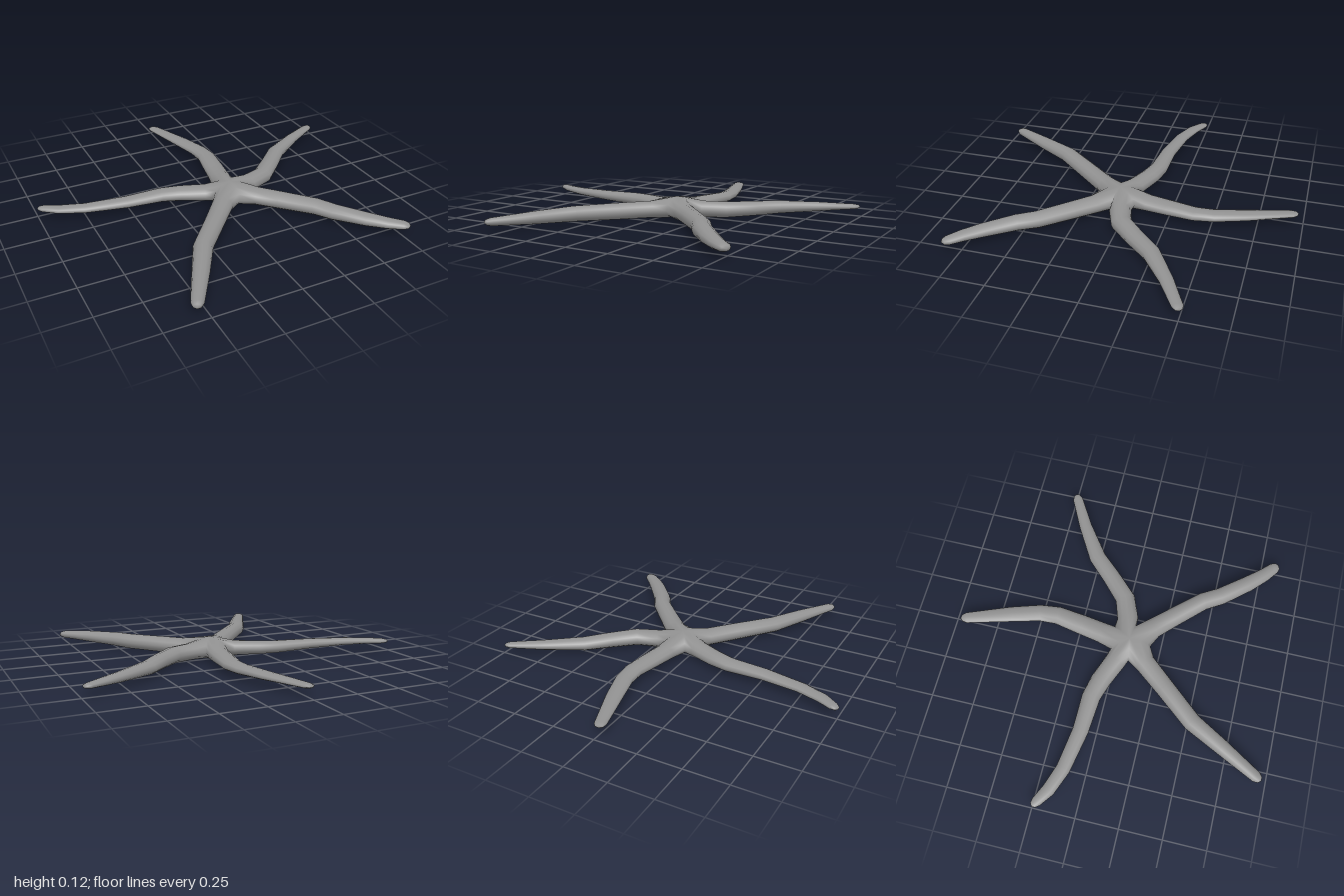
import * as THREE from 'three';
import { mergeGeometries, mergeVertices } from 'three/addons/utils/BufferGeometryUtils.js';

const CENTRE = [0.078, 0.06];
const SIDES = 12;
const ROOT_HEIGHT = 0.049;

// Notch k lies between arm k and arm k + 1.
const NOTCHES = [[0.15, -0.05], [0.19, 0.077], [0.08, 0.187], [-0.04, 0.08], [0.01, -0.04]];

// Each arm: [x, z, half width] stations from the body outwards,
// half height at the tip, and how late the arm starts to flatten.
const ARMS = [
  // back
  { tip: 0.013, late: 0.9, path: [
    [0.1, -0.12, 0.065], [0.12, -0.24, 0.063], [0.145, -0.4, 0.057],
    [0.135, -0.51, 0.053], [0.085, -0.68, 0.049], [0, -0.935, 0.034]] },
  // left back
  { tip: 0.015, late: 2, path: [
    [0.225, 0.015, 0.063], [0.35, -0.03, 0.06], [0.47, -0.145, 0.055],
    [0.58, -0.26, 0.052], [0.78, -0.39, 0.039], [0.957, -0.486, 0.031]] },
  // left front
  { tip: 0.022, late: 3, path: [
    [0.2, 0.18, 0.063], [0.295, 0.28, 0.059], [0.44, 0.435, 0.055],
    [0.5, 0.535, 0.054], [0.62, 0.68, 0.05], [0.7, 0.765, 0.043], [0.763, 0.82, 0.036]] },
  // right front
  { tip: 0.022, late: 3, path: [
    [-0.03, 0.18, 0.063], [-0.155, 0.33, 0.058], [-0.32, 0.525, 0.055],
    [-0.425, 0.72, 0.047], [-0.545, 0.936, 0.034]] },
  // right back
  { tip: 0.015, late: 1, path: [
    [-0.06, 0.005, 0.063], [-0.195, -0.05, 0.06], [-0.305, -0.08, 0.055],
    [-0.52, -0.09, 0.047], [-0.755, -0.13, 0.042], [-0.89, -0.18, 0.039],
    [-0.968, -0.228, 0.03]] },
];

// Loft an arm from a mitred root, shared with both neighbours, to a rounded tip.
function armGeometry({ path, tip, late }, k) {
  const stations = [CENTRE, ...path];
  const pts = stations.map(([x, z]) => new THREE.Vector3(x, 0, z));
  const last = pts.length - 1;
  const total = pts[0].distanceTo(pts[last]);
  const rings = path.map(([, , r], n) => {
    const i = n + 1, p = pts[i];
    const before = p.clone().sub(pts[i - 1]).normalize();
    const after = pts[Math.min(i + 1, last)].clone().sub(p).normalize();
    const dir = before.add(after).normalize();
    const t = p.distanceTo(pts[0]) / total;
    const h = ROOT_HEIGHT + (tip - ROOT_HEIGHT) * Math.pow(t, late);
    return { p: p.clone().setY(0.052 + 0.005 * t), dir, r, h };
  });
  const end = rings[rings.length - 1];
  const beyond = (d, f) => ({ ...end, p: end.p.clone().addScaledVector(end.dir, d), r: end.r * f, h: end.h * f });
  rings.push(beyond(0.026, 0.65));

  // Root: runs from notch to notch, over the central peak and under the belly
  const pos = [], index = [];
  const angle = (j) => (j / SIDES) * Math.PI * 2;
  for (let j = 0; j < SIDES; j++) {
    const c = Math.cos(angle(j)), s = Math.sin(angle(j));
    const notch = NOTCHES[c > 0 ? (k + 4) % 5 : k];
    const f = Math.abs(c);
    pos.push(CENTRE[0] + (notch[0] - CENTRE[0]) * f, 0.053 + s * (s > 0 ? 0.068 : 0.053),
      CENTRE[1] + (notch[1] - CENTRE[1]) * f);
  }
  // Elliptical rings along the arm, then the tip point
  for (const { p, dir, r, h } of rings) {
    for (let j = 0; j < SIDES; j++) {
      const s = Math.cos(angle(j)) * r;
      pos.push(p.x + dir.z * s, p.y + Math.sin(angle(j)) * h, p.z - dir.x * s);
    }
  }
  pos.push(...beyond(0.037, 0).p.toArray());
  const apex = (rings.length + 1) * SIDES;
  for (let i = 0; i <= rings.length; i++) {
    for (let j = 0; j < SIDES; j++) {
      const a = i * SIDES + j, b = i * SIDES + (j + 1) % SIDES;
      if (i === rings.length) index.push(a, b, apex);
      else index.push(a, b, b + SIDES, a, b + SIDES, a + SIDES);
    }
  }
  const geo = new THREE.BufferGeometry();
  geo.setAttribute('position', new THREE.Float32BufferAttribute(pos, 3));
  geo.setIndex(index);
  return geo;
}

export function createModel() {
  const group = new THREE.Group();
  group.name = 'starfish';

  // Five arms welded along their mitres into one smooth skin
  const skin = mergeVertices(mergeGeometries(ARMS.map(armGeometry)), 1e-4);
  skin.computeVertexNormals();
  const body = new THREE.Mesh(skin, new THREE.MeshStandardMaterial({ color: 0x929292 }));
  body.name = 'bodyAndArms';
  group.add(body);
  return group;
}
